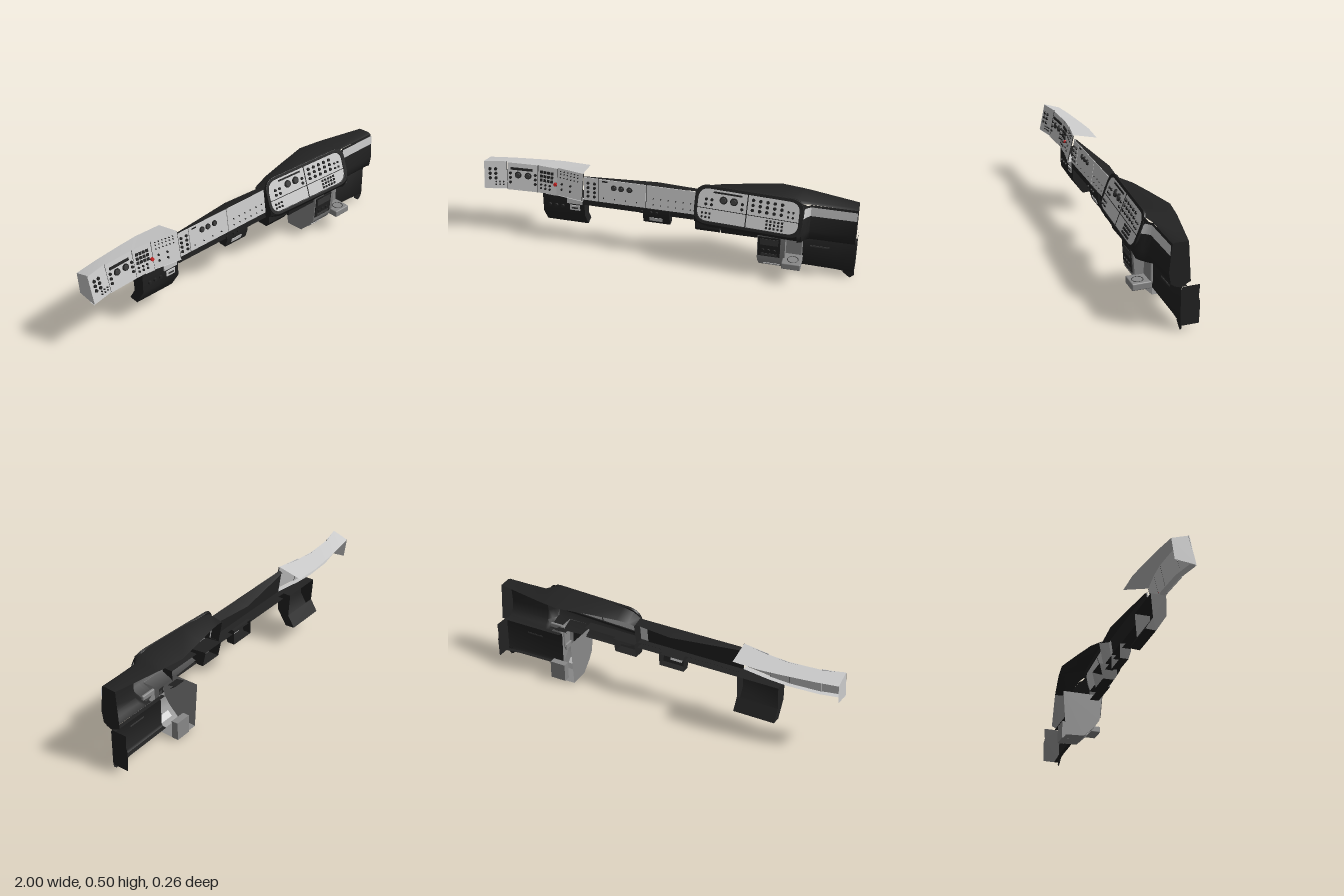
import * as THREE from 'three';
import { toCreasedNormals } from 'three/addons/utils/BufferGeometryUtils.js';
import { RoundedBoxGeometry } from 'three/addons/geometries/RoundedBoxGeometry.js';

const mat = (color) => new THREE.MeshStandardMaterial({ color, side: THREE.DoubleSide });
const GREY = mat(0xcccccc), MID = mat(0x888888), BLACK = mat(0x222222), DARK = mat(0x3a3a3a), RED = mat(0xcc2222);

function add(parent, name, geo, material, x = 0, y = 0, z = 0) {
  const m = new THREE.Mesh(geo, material);
  m.name = name;
  m.position.set(x, y, z);
  parent.add(m);
  return m;
}
const box = (p, name, m, x0, x1, y0, y1, z0, z1) =>
  add(p, name, new THREE.BoxGeometry(x1 - x0, y1 - y0, z1 - z0), m, (x0 + x1) / 2, (y0 + y1) / 2, (z0 + z1) / 2);

// Sheet through sections [x, [z, y], [z, y], ...]
function loft(parent, name, m, secs, crease = 0.6) {
  const pos = [], v = (s, j) => [s[0], s[j][1], s[j][0]];
  for (let i = 0; i < secs.length - 1; i++)
    for (let j = 1; j < secs[i].length - 1; j++) {
      const a = v(secs[i], j), b = v(secs[i + 1], j), c = v(secs[i + 1], j + 1), d = v(secs[i], j + 1);
      pos.push(...a, ...d, ...b, ...b, ...d, ...c);
    }
  const g = new THREE.BufferGeometry();
  g.setAttribute('position', new THREE.Float32BufferAttribute(pos, 3));
  return add(parent, name, toCreasedNormals(g, crease), m);
}
// Flat end plate at one x from a [z, y] outline
function cheek(parent, name, m, x, outline) {
  const g = new THREE.ShapeGeometry(new THREE.Shape(outline.map(([z, y]) => new THREE.Vector2(-z, y))));
  g.rotateY(Math.PI / 2);
  return add(parent, name, g, m, x);
}
// Open-backed box: profile from back top over the front to back bottom
function shell(parent, name, m, x0, x1, profile) {
  const g = new THREE.Group();
  g.name = name;
  parent.add(g);
  loft(g, name + 'Skin', m, [[x0, ...profile], [x1, ...profile]]);
  for (const x of [x0, x1]) cheek(g, name + 'Side', m, x, profile);
}
// Leaning panel frame; its children use x,y as seen from the front
function frame(parent, name, x0, z0, x1, z1, y0, y1, lean) {
  const g = new THREE.Group(), cx = (x0 + x1) / 2, cy = (y0 + y1) / 2;
  const yaw = -Math.atan2(z1 - z0, x1 - x0);
  g.name = name;
  g.position.set(cx, cy, (z0 + z1) / 2);
  g.rotation.set(-lean, yaw, 0, 'YXZ');
  parent.add(g);
  const u = (x) => (x - cx) / Math.cos(yaw), v = (y) => (y - cy) / Math.cos(lean);
  const api = {
    g, u, v,
    plate: (n, m, a, b, c, d, t = 0.005, z = 0) => box(g, n, m, u(a), u(b), v(c), v(d), z - t / 2, z + t / 2),
    knob(n, x, y, r, m = BLACK, h = 0.008, z = 0.005) {
      const k = add(g, n, new THREE.CylinderGeometry(r * 0.9, r, h, 14), m, u(x), v(y), z);
      k.rotation.x = Math.PI / 2;
    },
    gauge(x, y, r) {
      api.knob('gaugeRim', x, y, r);
      api.knob('gaugeFace', x, y, r * 0.7, DARK, 0.002, 0.01);
    },
    grid(n, xs, ys, r, square) {
      for (const x of xs) for (const y of ys)
        square ? api.plate(n, BLACK, x - r, x + r, y - r, y + r, 0.008, 0.004) : api.knob(n, x, y, r);
    },
  };
  return api;
}
const range = (a, b, n) => Array.from({ length: n }, (_, i) => a + (b - a) * i / Math.max(1, n - 1));

function roundRect(x0, x1, y0, y1, r, Type = THREE.Shape) {
  const s = new Type();
  s.moveTo(x0 + r, y0).lineTo(x1 - r, y0).quadraticCurveTo(x1, y0, x1, y0 + r).lineTo(x1, y1 - r);
  s.quadraticCurveTo(x1, y1, x1 - r, y1).lineTo(x0 + r, y1).quadraticCurveTo(x0, y1, x0, y1 - r);
  return s.lineTo(x0, y0 + r).quadraticCurveTo(x0, y0, x0 + r, y0);
}

export function createModel() {
  const root = new THREE.Group();
  root.name = 'dashboard';

  // Side instrument wing: four angled panels
  const wing = [[-1, 0.045], [-0.88, 0.02], [-0.71, 0.012], [-0.6, 0.022], [-0.45, 0.048]];
  const panels = wing.slice(1).map(([x1, z1], i) => {
    const [x0, z0] = wing[i], y0 = [0.312, 0.306, 0.307, 0.314][i];
    const f = frame(root, 'wingPanel', x0, z0, x1, z1, y0, y0 + 0.15, 0.22);
    f.plate('panelPlate', GREY, x0, x1 - 0.001, y0, y0 + 0.15, 0.004);
    f.plate('panelSeam', DARK, x1 - 0.002, x1, y0, y0 + 0.15, 0.005);
    return f;
  });
  panels[0].grid('button', [-0.97, -0.94], [0.37, 0.395, 0.42], 0.009);
  panels[0].grid('switch', [-0.94, -0.92, -0.9], [0.335, 0.35], 0.004);
  panels[1].plate('warningStrip', BLACK, -0.86, -0.74, 0.42, 0.432, 0.01, 0.004);
  for (const x of [-0.82, -0.765]) panels[1].gauge(x, 0.392, 0.019);
  panels[1].grid('button', [-0.862, -0.725], [0.35, 0.375, 0.4], 0.008);
  panels[2].grid('button', range(-0.69, -0.63, 4), [0.38, 0.402, 0.425], 0.007, true);
  panels[2].grid('switch', range(-0.69, -0.64, 3), [0.335, 0.355], 0.006);
  panels[2].knob('redButton', -0.609, 0.37, 0.01, RED, 0.014);
  panels[3].grid('smallSwitch', range(-0.58, -0.48, 6), [0.415, 0.435, 0.45], 0.003);
  panels[3].grid('lamp', [-0.57, -0.52], [0.35, 0.38], 0.006);

  // Wing cover, end plate and bottom lip
  loft(root, 'wingCover', GREY, [[-1, [-0.06, 0.435], [0.03, 0.465]], [-0.88, [-0.08, 0.435], [0.005, 0.458]],
    [-0.71, [-0.1, 0.435], [-0.003, 0.455]], [-0.6, [-0.11, 0.435], [0.007, 0.459]], [-0.45, [-0.105, 0.435], [0.032, 0.467]]]);
  cheek(root, 'wingEnd', GREY, -1, [[-0.06, 0.435], [0.03, 0.465], [0.063, 0.314], [-0.045, 0.325]]);
  loft(root, 'wingLip', GREY, wing.map(([x, z]) => [x, [z + 0.018, 0.31], [z - 0.015, 0.312]]));

  // Box hanging below the wing
  shell(root, 'wingLowerBox', BLACK, -0.68, -0.45,
    [[-0.045, 0.31], [0.035, 0.31], [0.035, 0.2], [-0.02, 0.112], [-0.075, 0.115], [-0.035, 0.18]]);
  const wl = frame(root, 'wingLowerControls', -0.68, 0.038, -0.45, 0.038, 0.21, 0.31, 0);
  wl.plate('greyInset', GREY, -0.545, -0.46, 0.27, 0.307);
  wl.plate('display', GREY, -0.53, -0.475, 0.23, 0.26);
  wl.plate('displayGlass', DARK, -0.52, -0.485, 0.24, 0.25, 0.006, 0.001);
  wl.grid('knob', [-0.64, -0.605, -0.57], [0.25], 0.01);

  // Middle panel with hood, backing and base strip
  const mid = frame(root, 'middlePanel', -0.45, 0.034, 0.16, 0.034, 0.31, 0.44, 0.14);
  for (const [a, b] of [[-0.448, -0.372], [-0.368, -0.112], [-0.108, 0.16]])
    mid.plate('panelPlate', GREY, a, b, 0.31, 0.44);
  mid.plate('panelBacking', BLACK, -0.45, 0.11, 0.31, 0.44, 0.004, -0.006);
  mid.grid('button', [-0.425, -0.39], [0.335, 0.36, 0.385, 0.41], 0.008);
  for (const x of [-0.285, -0.245, -0.2]) mid.gauge(x, 0.4, 0.016);
  mid.plate('indicator', BLACK, -0.35, -0.32, 0.425, 0.433, 0.008);
  mid.grid('smallSwitch', range(-0.34, -0.16, 4), [0.335], 0.003);
  mid.grid('smallSwitch', range(-0.07, 0.13, 6), [0.335, 0.37], 0.003);
  loft(root, 'middleHood', BLACK, [[-0.45, [0.01, 0.435], [0.028, 0.445]], [-0.06, [-0.04, 0.425], [0.028, 0.445]],
    [0.16, [-0.02, 0.43], [0.028, 0.445]]]);
  shell(root, 'baseStrip', BLACK, -0.45, 0.16, [[0, 0.31], [0.045, 0.31], [0.045, 0.277], [0, 0.277]]);
  shell(root, 'middleLowerBox', BLACK, -0.125, 0.02, [[-0.01, 0.3], [0.05, 0.31], [0.05, 0.265], [0.035, 0.217], [-0.01, 0.217]]);
  const ml = frame(root, 'middleLowerControls', -0.125, 0.051, 0.02, 0.051, 0.265, 0.31, 0);
  ml.grid('knob', [-0.13, -0.08, -0.05], [0.292], 0.008);
  const display = box(root, 'middleDisplay', GREY, -0.09, -0.02, 0.232, 0.257, 0.043, 0.046);
  display.rotation.x = 0.3;

  // Instrument cluster: rounded face, dials and dark surround
  const cl = frame(root, 'cluster', 0.16, 0.06, 0.72, 0.09, 0.3, 0.49, 0.35);
  const { u, v } = cl;
  const bezel = roundRect(u(0.157), u(0.722), v(0.302), v(0.493), 0.07);
  bezel.holes.push(roundRect(u(0.17), u(0.704), v(0.314), v(0.48), 0.062, THREE.Path));
  add(cl.g, 'clusterBezel', new THREE.ExtrudeGeometry(bezel, { depth: 0.01, bevelSize: 0.002, bevelThickness: 0.002, bevelSegments: 2, curveSegments: 10 }), BLACK, 0, 0, -0.006);
  add(cl.g, 'clusterFace', new THREE.ExtrudeGeometry(roundRect(u(0.168), u(0.706), v(0.312), v(0.482), 0.062), { depth: 0.004, bevelEnabled: false }), GREY, 0, 0, -0.002);
  cl.plate('verticalSeam', BLACK, 0.428, 0.433, 0.316, 0.479, 0.007);
  cl.plate('horizontalSeam', BLACK, 0.172, 0.702, 0.378, 0.381, 0.007);
  cl.plate('warningStrip', BLACK, 0.25, 0.4, 0.46, 0.468, 0.008, 0.002);
  for (const x of [0.305, 0.36]) cl.gauge(x, 0.43, 0.021);
  cl.grid('button', [0.215, 0.245, 0.405], [0.4, 0.425], 0.008);
  cl.grid('button', range(0.46, 0.61, 5), [0.405, 0.43, 0.455], 0.009);
  cl.grid('switch', [0.2, 0.22, 0.24], [0.335, 0.355], 0.006);
  cl.grid('switch', range(0.54, 0.62, 5), [0.33, 0.348, 0.365], 0.005, true);
  cl.grid('button', [0.645, 0.67], [0.4, 0.425], 0.006);

  // Hood sweeping over the cluster to the far end
  loft(root, 'clusterHood', BLACK, [[0.155, [-0.035, 0.43], [0.03, 0.445], [0.05, 0.435]], [0.19, [-0.04, 0.44], [0.025, 0.475], [0.038, 0.472]],
    [0.25, [-0.055, 0.45], [0.025, 0.491], [0.035, 0.488]], [0.4, [-0.085, 0.458], [0.033, 0.496], [0.042, 0.492]],
    [0.58, [-0.122, 0.463], [0.042, 0.497], [0.052, 0.492]], [0.65, [-0.112, 0.463], [0.045, 0.495], [0.055, 0.49]],
    [0.7, [-0.105, 0.463], [0.045, 0.485], [0.065, 0.478]], [0.75, [-0.095, 0.463], [0.02, 0.468], [0.036, 0.462]],
    [0.99, [-0.045, 0.46], [0.02, 0.464], [0.036, 0.458]]], 0.9);
  cheek(root, 'clusterEnd', BLACK, 0.157, [[-0.035, 0.43], [0.03, 0.445], [0.045, 0.435], [0.088, 0.32], [0.08, 0.295], [0.02, 0.28], [-0.01, 0.3]]);
  loft(root, 'clusterUnderside', BLACK, [[0.157, [0.085, 0.33], [0.078, 0.295], [0.03, 0.275]], [0.23, [0.097, 0.303], [0.085, 0.275], [0.03, 0.25]],
    [0.66, [0.122, 0.303], [0.1, 0.27], [0.02, 0.235]], [0.72, [0.12, 0.315], [0.1, 0.27], [0, 0.23]]], 0.9);

  // Far end front with light trim stripe
  const ends = [[0.7, 0.065, 0.128], [0.722, 0.065, 0.118], [0.737, 0.05, 0.08], [0.755, 0.036, 0.054], [0.99, 0.036, 0.05]];
  loft(root, 'endFront', BLACK, ends.map(([x, a, b], i) => [x, [a, i < 2 ? 0.478 : 0.46], [a + (b - a) * 0.4, 0.4], [b, 0.315], [b * 0.8, 0.262], [b * 0.4, 0.24], [-0.01, 0.23]]), 0.9);
  loft(root, 'trimStripe', GREY, ends.slice(1).map(([x, a, b]) => [x, [a + 0.006, 0.45], [a + (b - a) * 0.4 + 0.004, 0.4]]));
  cheek(root, 'endCap', BLACK, 0.99, [[-0.045, 0.46], [0.02, 0.464], [0.036, 0.458], [0.05, 0.315], [0.04, 0.255], [0.02, 0.24], [-0.01, 0.23], [-0.06, 0.255]]);

  // Brackets below the cluster
  shell(root, 'clusterBracket', BLACK, 0.16, 0.29, [[-0.03, 0.31], [0.07, 0.3], [0.07, 0.25], [0.05, 0.222], [-0.01, 0.222]]);
  shell(root, 'clusterStrip', BLACK, 0.3, 0.5, [[0.02, 0.29], [0.085, 0.29], [0.075, 0.24], [0.02, 0.235]]);
  loft(root, 'rearBracket', BLACK, [0.55, 0.62].map((x) => [x, [-0.05, 0.3], [-0.1, 0.31], [-0.06, 0.28]]));

  // Centre console: full plate on the inner side, short one beside the storage
  const front = [[0.092, 0.27], [0.08, 0.12], [0.05, 0.075], [-0.01, 0.015]];
  loft(root, 'consoleFront', MID, [0.495, 0.64].map((x) => [x, ...front, [-0.115, 0.01]]));
  cheek(root, 'consoleInnerSide', MID, 0.495, [[-0.135, 0.27], ...front, [-0.115, 0.01]]);
  cheek(root, 'consoleOuterSide', MID, 0.64, [[-0.01, 0.27], ...front]);
  box(root, 'consoleRearFoot', MID, 0.55, 0.64, 0.01, 0.11, -0.122, -0.085);
  const co = frame(root, 'consoleControls', 0.495, 0.088, 0.64, 0.088, 0.13, 0.27, -0.08);
  co.plate('controlPlate', BLACK, 0.5, 0.615, 0.14, 0.265, 0.008);
  co.plate('screen', DARK, 0.51, 0.605, 0.215, 0.255, 0.012);
  co.grid('knob', [0.525, 0.555, 0.585], [0.18], 0.01);
  co.plate('drawer', DARK, 0.515, 0.6, 0.145, 0.16, 0.012);
  const tray = box(root, 'lowerTray', GREY, 0.525, 0.61, 0.03, 0.065, 0.022, 0.026);
  tray.rotation.x = 0.75;

  // Cup holder beside the console
  add(root, 'cupHolder', new RoundedBoxGeometry(0.1, 0.038, 0.1, 2, 0.006), MID, 0.68, 0.12, 0.078);
  add(root, 'cupRing', new THREE.TorusGeometry(0.028, 0.002, 6, 24), DARK, 0.685, 0.139, 0.085).rotation.x = Math.PI / 2;
  add(root, 'cupHolderBack', new RoundedBoxGeometry(0.09, 0.14, 0.016, 2, 0.006), MID, 0.68, 0.19, 0.027);

  // Lower storage front with flared outer side
  loft(root, 'storageFront', BLACK, [0.63, 0.9, 0.997].map((x, i) => {
    const b = [0.045, 0.04, 0.03][i];
    return [x, [-0.04, 0.237], [-0.018, 0.237], [-0.01, 0.225], [-0.01, b + 0.012], [-0.018, b], [-0.04, b]];
  }));
  cheek(root, 'storageSide', BLACK, 0.997, [[-0.105, 0.235], [-0.02, 0.235], [-0.01, 0.222], [-0.01, 0.04], [-0.02, 0.03], [-0.105, 0.03], [-0.108, 0.14], [-0.1, 0.17]]);
  loft(root, 'storageTab', BLACK, [[0.94, 0.03], [0.965, 0.008], [0.98, 0], [1, 0.02]].map(([x, y]) => [x, [-0.014, 0.04], [-0.016, y]]));
  box(root, 'storageLid', DARK, 0.76, 0.86, 0.17, 0.178, -0.011, -0.007);
  return root;
}
